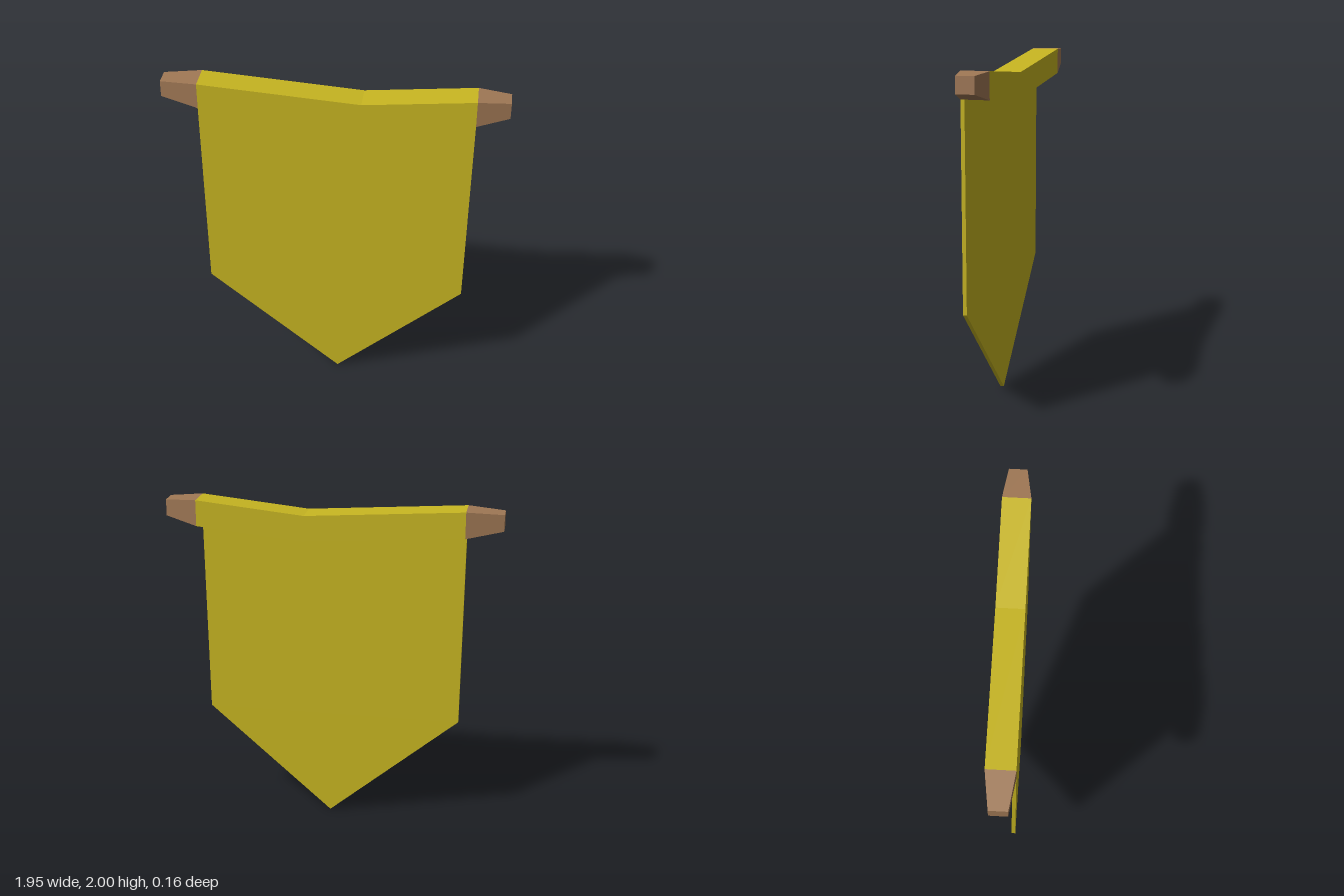
import * as THREE from 'three';

// Square-section loft along x; each section is [x, yBottom, yTop, zBack, zFront]
function loft(sections, capStart, capEnd) {
  const pos = [], idx = [];
  for (const [x, y0, y1, z0, z1] of sections) {
    pos.push(x, y0, z1, x, y1, z1, x, y1, z0, x, y0, z0);
  }
  for (let s = 0; s < sections.length - 1; s++) {
    for (let i = 0; i < 4; i++) {
      const a = s * 4 + i, b = s * 4 + (i + 1) % 4;
      idx.push(a, a + 4, b, b, a + 4, b + 4);
    }
  }
  if (capStart) idx.push(0, 1, 2, 0, 2, 3);
  const e = (sections.length - 1) * 4;
  if (capEnd) idx.push(e, e + 2, e + 1, e, e + 3, e + 2);
  const g = new THREE.BufferGeometry();
  g.setAttribute('position', new THREE.Float32BufferAttribute(pos, 3));
  g.setIndex(idx);
  const flat = g.toNonIndexed();
  flat.computeVertexNormals();
  return flat;
}

export function createModel() {
  const group = new THREE.Group();
  group.name = 'hangingBanner';
  const cloth = new THREE.MeshStandardMaterial({ name: 'yellowCloth', color: 0xc8b621, flatShading: true });
  const wood = new THREE.MeshStandardMaterial({ name: 'brownWood', color: 0xa07855, flatShading: true });

  const add = (name, geometry, material) => {
    const mesh = new THREE.Mesh(geometry, material);
    mesh.name = name;
    group.add(mesh);
  };

  // Sections of the sagging pole, right to left
  const rightTip = [-0.975, 1.893, 1.988, -0.053, 0.05];
  const rightEdge = [-0.763, 1.847, 2, -0.081, 0.08];
  const sag = [0.155, 1.785, 1.936, -0.081, 0.08];
  const leftEdge = [0.787, 1.845, 1.998, -0.081, 0.08];
  const leftTip = [0.97, 1.893, 1.988, -0.053, 0.05];

  add('rightPoleEnd', loft([rightTip, rightEdge], true, false), wood);
  add('leftPoleEnd', loft([leftEdge, leftTip], false, true), wood);

  // Cloth sleeve wrapped round the pole
  add('clothSleeve', loft([rightEdge, sag, leftEdge], true, true), cloth);

  // Hanging sheet with a pointed lower edge, flush with the sleeve's front
  const sheet = new THREE.Shape([
    [-0.763, 1.847], [-0.755, 0.663], [0.027, 0], [0.775, 0.66], [0.787, 1.845], [0.155, 1.785],
  ].map(([x, y]) => new THREE.Vector2(x, y)));
  const sheetGeometry = new THREE.ExtrudeGeometry(sheet, { depth: 0.022, bevelEnabled: false });
  sheetGeometry.translate(0, 0, 0.058);
  add('clothSheet', sheetGeometry, cloth);

  return group;
}
